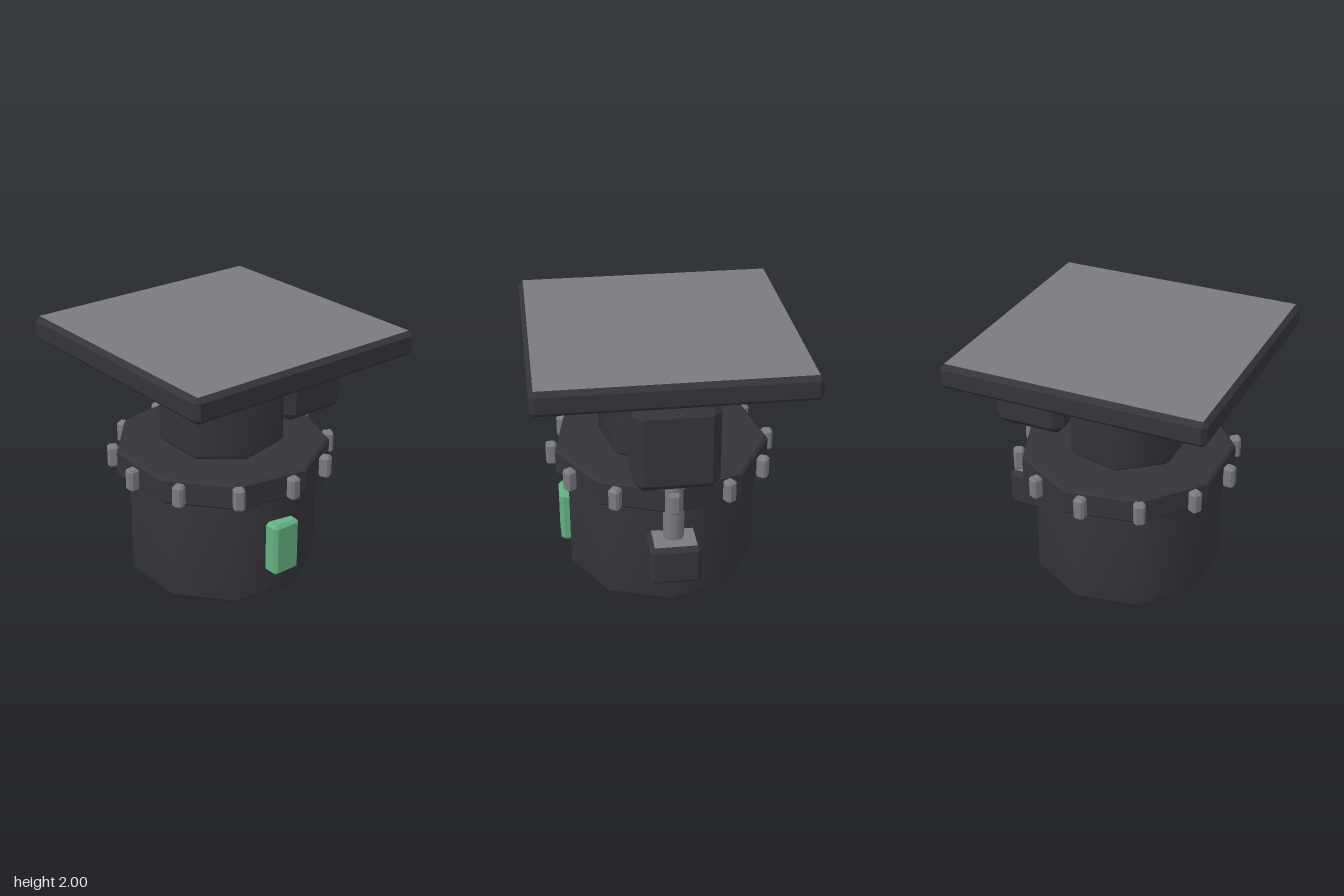
import * as THREE from 'three';
import { ConvexGeometry } from 'three/addons/geometries/ConvexGeometry.js';

const material = (name, color) => {
  const m = new THREE.MeshStandardMaterial({ color });
  m.name = name;
  return m;
};

// Box with all edges chamfered; group 1 holds the flat top and bottom faces
function chamferBox(w, h, d, c) {
  const points = [];
  for (const x of [-1, 1]) for (const y of [-1, 1]) for (const z of [-1, 1]) {
    const X = x * w / 2, Y = y * h / 2, Z = z * d / 2;
    points.push(
      new THREE.Vector3(X, Y - y * c, Z - z * c),
      new THREE.Vector3(X - x * c, Y, Z - z * c),
      new THREE.Vector3(X - x * c, Y - y * c, Z));
  }
  const geo = new ConvexGeometry(points);
  const n = geo.attributes.normal;
  for (let i = 0; i < n.count; i += 3) geo.addGroup(i, 3, Math.abs(n.getY(i)) > 0.99 ? 1 : 0);
  return geo;
}

// Solid polygonal drum with chamfered rims, one corner pointing to +x
function drum(r, y0, y1, c, sides) {
  const profile = [[0, y0], [r - c, y0], [r, y0 + c], [r, y1 - c], [r - c, y1], [0, y1]]
    .map(([x, y]) => new THREE.Vector2(x, y));
  return new THREE.LatheGeometry(profile, sides, Math.PI / 2);
}

export function createModel() {
  const dark = material('dark casing', 0x35343a);
  const grey = material('grey metal', 0x7a7a80);
  const green = material('green panel', 0x64b081);
  const ringDark = dark;

  const model = new THREE.Group();
  model.name = 'turntable';
  const add = (name, geo, mat, x = 0, y = 0, z = 0, parent = model) => {
    const mesh = new THREE.Mesh(geo, mat);
    mesh.name = name;
    mesh.position.set(x, y, z);
    parent.add(mesh);
    return mesh;
  };

  // Central column
  add('baseDrum', drum(0.73, 0, 0.87, 0.06, 9), dark);
  add('upperDrum', drum(0.477, 1.08, 1.815, 0.04, 7), dark);
  add('ring', drum(0.825, 0.87, 1.08, 0.02, 9).toNonIndexed(), ringDark).geometry.computeVertexNormals();

  // Pegs around the ring
  const pegs = new THREE.Group();
  pegs.name = 'ringPegs';
  model.add(pegs);
  const pegGeo = chamferBox(0.085, 0.175, 0.085, 0.018);
  for (let i = 0; i < 12; i++) {
    const a = i * Math.PI / 6;
    const peg = add('peg', pegGeo, [grey, grey], 0.835 * Math.sin(a), 0.978, 0.835 * Math.cos(a), pegs);
    peg.rotation.y = a;
  }

  // Square table top
  add('tablePlate', chamferBox(2, 0.19, 2, 0.034), [dark, grey], 0, 1.905, 0);

  // Side drive: upper housing, shaft and lower block
  add('driveHousing', chamferBox(0.58, 0.655, 0.612, 0.065), [dark, grey], 0.71, 1.487, 0);
  add('driveShaft', drum(0.078, 0.6, 1.162, 0.01, 9), grey, 0.768);
  add('driveBlock', chamferBox(0.3, 0.31, 0.38, 0.034), [dark, grey], 0.81, 0.505, 0);

  // Front panel
  add('frontPanel', chamferBox(0.235, 0.42, 0.18, 0.024), [green, green], 0, 0.45, 0.7);

  return model;
}
